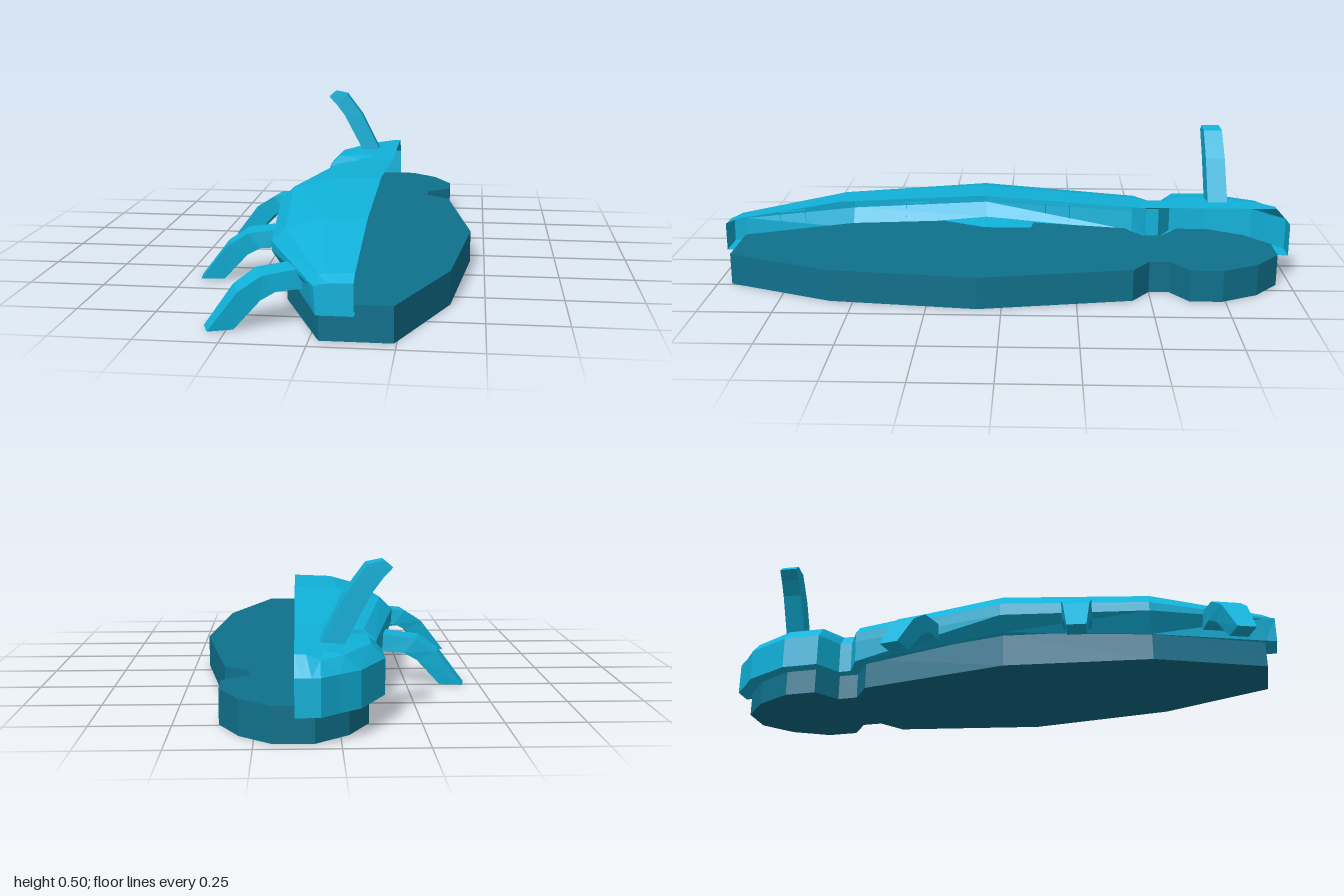
import * as THREE from 'three';

const shellBlue = new THREE.MeshStandardMaterial({ color: 0x11b2da, flatShading: true, side: THREE.DoubleSide });
shellBlue.name = 'shell blue';
const baseBlue = new THREE.MeshStandardMaterial({ color: 0x0f718d, flatShading: true });
baseBlue.name = 'base blue';

const MID = 0.133; // centre line, where the half shell is cut open

// Skin a row of cross-sections with flat facets
function loft(name, rings, closed) {
  const pos = [];
  const n = rings[0].length;
  for (let i = 0; i < rings.length - 1; i++) {
    for (let j = 0; j < (closed ? n : n - 1); j++) {
      const k = (j + 1) % n;
      const a = rings[i][j], b = rings[i + 1][j], c = rings[i + 1][k], d = rings[i][k];
      pos.push(...a, ...b, ...c, ...a, ...c, ...d);
    }
  }
  const geo = new THREE.BufferGeometry();
  geo.setAttribute('position', new THREE.Float32BufferAttribute(pos, 3));
  geo.computeVertexNormals();
  const mesh = new THREE.Mesh(geo, shellBlue);
  mesh.name = name;
  return mesh;
}

// Half cross-section at z: ridge, shoulder, bevel, rim, belt, floor edge, floor middle
const section = (z, ridge, ...pts) =>
  [[MID, ridge], ...pts, [MID, 0.088]].map(([x, y]) => [x, y, z]);
const endCap = (ring, y) => ring.map(() => [MID, y, ring[0][2]]);

// Bent four-sided limb: each step is top point, bottom point and half width
function limb(name, steps) {
  const rings = steps.map(([xt, yt, xb, yb, w]) =>
    [[xt, yt, w], [xt, yt, -w], [xb, yb, -w], [xb, yb, w]]);
  const [xt, yt, xb, yb] = steps[steps.length - 1];
  rings.push(Array.from({ length: 4 }, () => [(xt + xb) / 2, (yt + yb) / 2, 0]));
  return loft(name, rings, true);
}

export function createModel() {
  const model = new THREE.Group();
  model.name = 'beetle';

  // Flat base slab, symmetrical about the centre line
  const half = [[0.107, 0.95], [0.257, 0.58], [0.315, 0.08], [0.225, -0.44], [0.142, -0.5], [0.142, -0.57],
    [0.225, -0.63], [0.225, -0.74], [0.16, -0.865], [0.06, -0.95]];
  const outline = [...half, ...half.map(([x, z]) => [-x, z]).reverse()];
  const slabShape = new THREE.Shape(outline.map(([x, z]) => new THREE.Vector2(x + 0.135, -z)));
  const slabGeo = new THREE.ExtrudeGeometry(slabShape, { depth: 0.11, bevelEnabled: false });
  slabGeo.rotateX(-Math.PI / 2);
  const slab = new THREE.Mesh(slabGeo, baseBlue);
  slab.name = 'baseSlab';
  model.add(slab);

  // Long half shell of the abdomen
  const tail = section(0.99, 0.185, [0.07, 0.182], [0.045, 0.18], [0.02, 0.172], [0.02, 0.165], [0.025, 0.088]);
  const waist = section(-0.47, 0.258, [0, 0.254], [-0.09, 0.236], [-0.13, 0.2], [-0.13, 0.165], [-0.125, 0.09]);
  model.add(loft('abdomenShell', [
    endCap(tail, 0.13),
    tail,
    section(0.95, 0.203, [0.05, 0.2], [0.03, 0.193], [0.002, 0.172], [0.002, 0.165], [0.012, 0.088]),
    section(0.58, 0.27, [-0.01, 0.264], [-0.125, 0.232], [-0.17, 0.188], [-0.17, 0.157], [-0.125, 0.09]),
    section(0.08, 0.297, [-0.025, 0.29], [-0.18, 0.255], [-0.225, 0.21], [-0.225, 0.168], [-0.185, 0.12]),
    waist,
  ]));

  // Narrow neck
  const neckFront = section(-0.515, 0.258, [0.05, 0.256], [-0.01, 0.242], [-0.045, 0.2], [-0.045, 0.165], [-0.045, 0.09]);
  const neckBack = section(-0.56, 0.258, [0.05, 0.256], [-0.01, 0.242], [-0.045, 0.2], [-0.045, 0.165], [-0.045, 0.09]);
  model.add(loft('neck', [waist, neckFront, neckBack]));

  // Rounded half shell of the head
  const brow = section(-1, 0.2, [0.11, 0.2], [0.085, 0.2], [0.06, 0.2], [0.06, 0.165], [0.06, 0.088]);
  model.add(loft('headShell', [
    neckBack,
    section(-0.61, 0.258, [0, 0.256], [-0.095, 0.245], [-0.138, 0.2], [-0.138, 0.165], [-0.138, 0.088]),
    section(-0.74, 0.258, [0, 0.256], [-0.095, 0.245], [-0.138, 0.2], [-0.138, 0.165], [-0.138, 0.088]),
    section(-0.9, 0.258, [0.05, 0.256], [-0.01, 0.245], [-0.058, 0.2], [-0.058, 0.165], [-0.058, 0.088]),
    section(-0.95, 0.258, [0.1, 0.256], [0.06, 0.24], [0.005, 0.2], [0.005, 0.165], [0.005, 0.088]),
    brow,
    endCap(brow, 0.14),
  ]));

  // Three bent legs: root x, root z and sideways slant
  const legSteps = [
    [-0.02, 0.177, -0.02, 0.115, 0.046],
    [0.105, 0.163, 0.065, 0.112, 0.05],
    [0.175, 0.118, 0.108, 0.088, 0.043],
    [0.265, 0.002, 0.187, 0.002, 0.031],
  ];
  [['frontLeg', -0.185, -0.195, -0.045], ['middleLeg', -0.185, 0.338, 0.034], ['rearLeg', -0.065, 0.795, 0.1]]
    .forEach(([name, x, z, slant]) => {
      const leg = limb(name, legSteps);
      leg.position.set(x, 0, z);
      leg.rotation.y = Math.atan2(-slant, -0.265);
      model.add(leg);
    });

  // Curved feeler on the head
  const feeler = limb('feeler', [
    [-0.06, 0.25, 0.012, 0.25, 0.035],
    [0.015, 0.4, 0.09, 0.398, 0.034],
    [0.08, 0.487, 0.125, 0.445, 0.033],
    [0.13, 0.497, 0.155, 0.476, 0.031],
  ]);
  feeler.position.z = -0.752;
  feeler.rotation.y = Math.PI + 0.06;
  model.add(feeler);

  return model;
}
